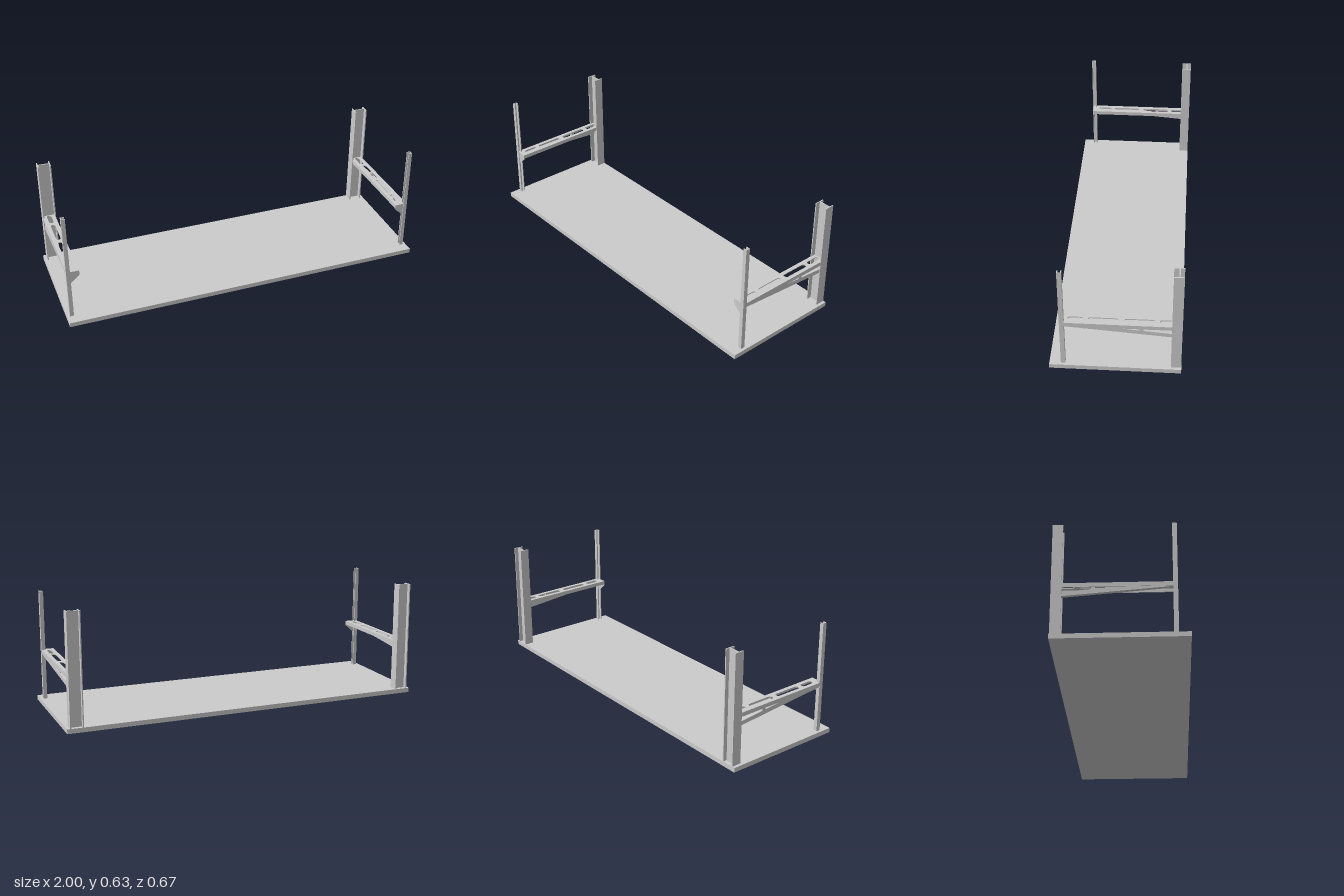
import * as THREE from 'three';

const mat = new THREE.MeshStandardMaterial({ color: 0xcccccc, flatShading: true });

function shapeOf(points) {
  return new THREE.Shape(points.map(([x, y]) => new THREE.Vector2(x, y)));
}

function add(group, name, geometry) {
  const mesh = new THREE.Mesh(geometry, mat);
  mesh.name = name;
  group.add(mesh);
}

// Box given by its lower and upper corners, mirrored in x by s
function box(s, x0, x1, y0, y1, z0, z1) {
  return new THREE.BoxGeometry(x1 - x0, y1 - y0, z1 - z0)
    .translate(s * (x0 + x1) / 2, (y0 + y1) / 2, (z0 + z1) / 2);
}

// Plan outline of [x, z] points raised from y0 to y1
function raise(shape, y0, y1) {
  return new THREE.ExtrudeGeometry(shape, { depth: y1 - y0, bevelEnabled: false, curveSegments: 6 })
    .rotateX(-Math.PI / 2).translate(0, y0, 0);
}
const plan = (s, points) => shapeOf(points.map(([x, z]) => [s * x, -z]));

// Round-ended slot running along z
function slot(x, z0, z1, r) {
  const p = new THREE.Path();
  p.absarc(x, -z0 - r, r, 0, Math.PI, false);
  p.absarc(x, -z1 + r, r, Math.PI, 2 * Math.PI, false);
  p.closePath();
  return p;
}

function buildSide(s) {
  const side = new THREE.Group();
  side.name = s > 0 ? 'leftFrame' : 'rightFrame';
  const base = 0.025, top = 0.628;

  // Rear H-section column: two flanges and a web
  add(side, 'rearPost', raise(plan(s, [
    [0.912, -0.332], [0.918, -0.332], [0.918, -0.311], [0.978, -0.311],
    [0.978, -0.332], [0.984, -0.332], [0.984, -0.28], [0.978, -0.28],
    [0.978, -0.305], [0.918, -0.305], [0.918, -0.28], [0.912, -0.28],
  ]), base, top));

  // Slim front channel, open towards the middle
  add(side, 'frontPost', raise(plan(s, [
    [0.963, 0.252], [0.984, 0.252], [0.984, 0.275], [0.963, 0.275],
    [0.963, 0.271], [0.98, 0.271], [0.98, 0.256], [0.963, 0.256],
  ]), base, top));

  // Slotted top of the arm
  const deck = plan(s, [[0.915, -0.28], [0.918, -0.28], [0.918, -0.305], [0.978, -0.305],
    [0.978, -0.28], [0.983, -0.28], [0.983, 0.27], [0.915, 0.27]]);
  for (const [z0, z1] of [[-0.3, -0.22], [-0.2, -0.045], [-0.02, 0.135], [0.155, 0.235]])
    deck.holes.push(slot(s * 0.949, z0, z1, 0.013));
  add(side, 'armTop', raise(deck, 0.297, 0.302));

  // Downturned edges of the arm
  add(side, 'armInnerEdge', box(s, 0.915, 0.92, 0.28, 0.297, -0.28, 0.27));
  add(side, 'armOuterEdge', box(s, 0.978, 0.983, 0.28, 0.297, -0.28, 0.27));

  // Sloping brace and its short strut
  const brace = shapeOf([[0.252, 0.277], [0.252, 0.281], [0, 0.281], [-0.3, 0.2535], [-0.3, 0.2315]]);
  add(side, 'brace', new THREE.ExtrudeGeometry(brace, { depth: 0.017, bevelEnabled: false })
    .rotateY(-Math.PI / 2).translate(s > 0 ? 0.981 : -0.964, 0, 0));
  add(side, 'braceStrut', box(s, 0.964, 0.981, 0.262, 0.297, -0.14, -0.121));

  // Corner plate joining the arm to the front post
  const gusset = shapeOf([[0.914, 0.302], [0.914, 0.275], [0.963, 0.232], [0.978, 0.232], [0.978, 0.302]]
    .map(([x, y]) => [s * x, y]));
  add(side, 'cornerPlate', new THREE.ExtrudeGeometry(gusset, { depth: 0.005, bevelEnabled: false })
    .translate(0, 0, 0.266));
  return side;
}

export function createModel() {
  const model = new THREE.Group();
  model.name = 'rackFrame';
  // Floor slab
  add(model, 'basePlate', box(1, -1, 1, 0, 0.025, -0.333, 0.333));
  for (const s of [1, -1]) model.add(buildSide(s));
  return model;
}
